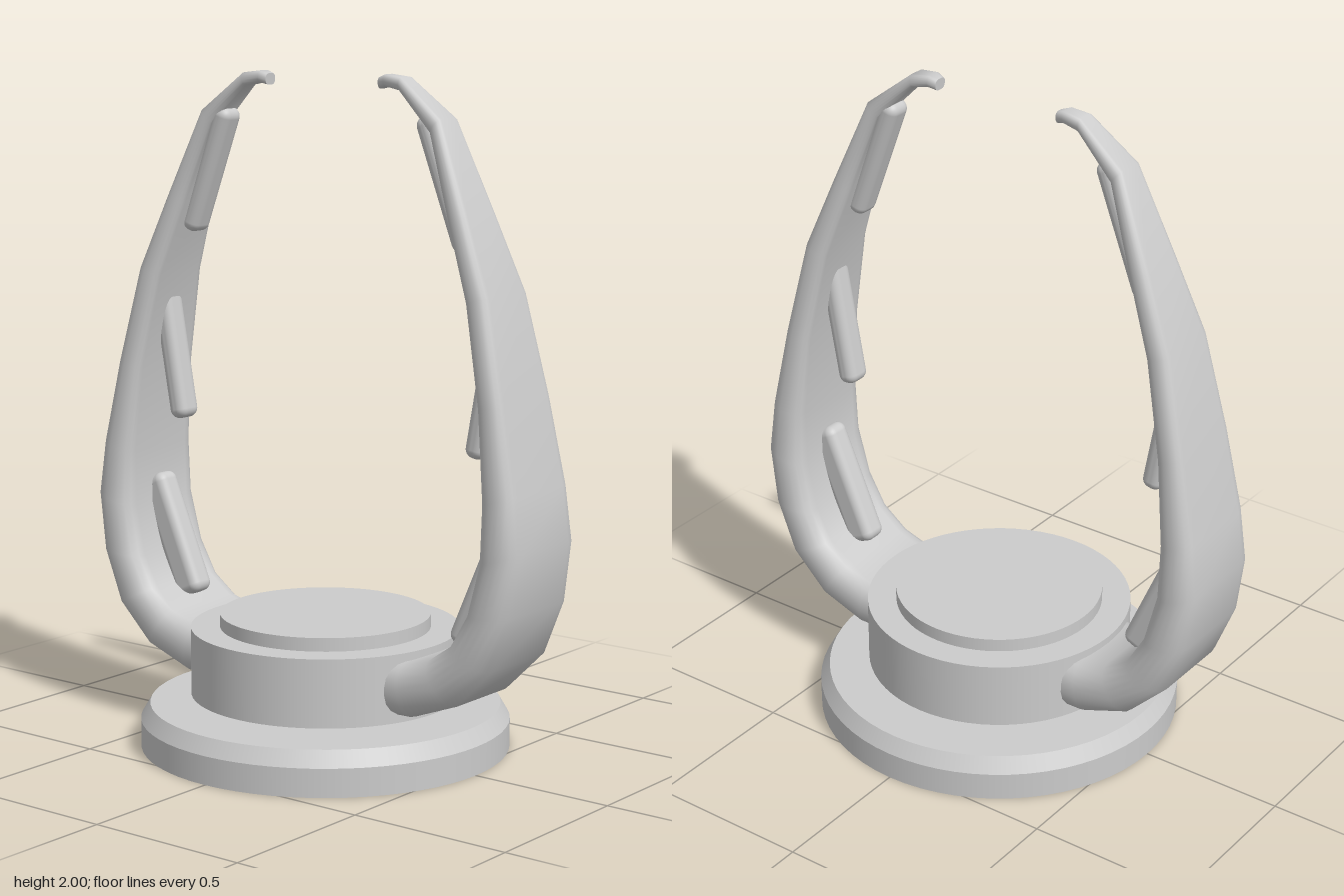
import * as THREE from 'three';
import { RoundedBoxGeometry } from 'three/addons/geometries/RoundedBoxGeometry.js';

const material = new THREE.MeshStandardMaterial({ color: 0xcccccc, side: THREE.DoubleSide });

function part(name, geometry, parent) {
  const mesh = new THREE.Mesh(geometry, material);
  mesh.name = name;
  parent.add(mesh);
  return mesh;
}

// Arm stations: outer x, outer y, inner x, inner y, half width in z
const stations = [
  [0.30, 0.175, 0.30, 0.335, 0.18],
  [0.42, 0.178, 0.39, 0.335, 0.183],
  [0.57, 0.235, 0.48, 0.36, 0.184],
  [0.69, 0.355, 0.56, 0.415, 0.183],
  [0.757, 0.52, 0.615, 0.51, 0.18],
  [0.783, 0.70, 0.652, 0.66, 0.172],
  [0.763, 0.86, 0.655, 0.83, 0.16],
  [0.71, 1.11, 0.63, 1.09, 0.14],
  [0.642, 1.40, 0.57, 1.38, 0.115],
  [0.55, 1.62, 0.49, 1.60, 0.088],
  [0.438, 1.88, 0.405, 1.84, 0.055],
  [0.29, 1.993, 0.285, 1.955, 0.036],
  [0.23, 2.0, 0.232, 1.965, 0.03],
  [0.205, 1.992, 0.207, 1.958, 0.022],
];

// Rounded rectangle loop: u along the thickness, z across the width
function ringPoints(halfT, halfW, steps = 5) {
  const r = Math.min(halfT * 0.84, halfW * 0.84);
  const points = [];
  for (let c = 0; c < 4; c++) {
    const su = c === 0 || c === 3 ? 1 : -1;
    const sz = c < 2 ? -1 : 1;
    for (let k = 0; k < steps; k++) {
      const a = (c + k / (steps - 1)) * Math.PI / 2;
      points.push([su * (halfT - r) + r * Math.cos(a), sz * (halfW - r) - r * Math.sin(a)]);
    }
  }
  return points;
}

function armGeometry() {
  const positions = [], index = [];
  let n = 0;
  for (const [ox, oy, ix, iy, w] of stations) {
    const dx = ox - ix, dy = oy - iy, t = Math.hypot(dx, dy);
    const ring = ringPoints(t / 2, w);
    n = ring.length;
    for (const [u, z] of ring) {
      positions.push((ox + ix) / 2 + u * dx / t, (oy + iy) / 2 + u * dy / t, z);
    }
  }
  for (let i = 0; i < stations.length - 1; i++) {
    for (let j = 0; j < n; j++) {
      const a = i * n + j, b = i * n + (j + 1) % n;
      index.push(a, b, b + n, a, b + n, a + n);
    }
  }
  // Cap at the tip, with its own vertices for a crisp edge
  const start = positions.length / 3, last = start - n;
  for (let j = 0; j < n; j++) {
    positions.push(...positions.slice((last + j) * 3, (last + j) * 3 + 3));
  }
  const [ox, oy, ix, iy] = stations[stations.length - 1];
  positions.push((ox + ix) / 2, (oy + iy) / 2, 0);
  for (let j = 0; j < n; j++) index.push(start + j, start + (j + 1) % n, start + n);

  const geometry = new THREE.BufferGeometry();
  geometry.setAttribute('position', new THREE.Float32BufferAttribute(positions, 3));
  geometry.setIndex(index);
  geometry.computeVertexNormals();
  return geometry;
}

// Grip pads: name, centre x, centre y, thickness, length, tilt
const pads = [
  ['upperPad', 0.437, 1.70, 0.06, 0.40, 0.365],
  ['middlePad', 0.59, 1.145, 0.065, 0.435, -0.18],
  ['lowerPad', 0.592, 0.56, 0.10, 0.39, -0.41],
];

function buildArm(name) {
  const arm = new THREE.Group();
  arm.name = name;
  part('claw', armGeometry(), arm);
  for (const [padName, x, y, thick, length, tilt] of pads) {
    const pad = part(padName, new RoundedBoxGeometry(thick, length, 0.085, 4, 0.028), arm);
    pad.position.set(x, y, 0);
    pad.rotation.z = tilt;
  }
  return arm;
}

function disc(name, radius, y0, y1, parent) {
  part(name, new THREE.CylinderGeometry(radius, radius, y1 - y0, 64), parent).position.y = (y0 + y1) / 2;
}

export function createModel() {
  const model = new THREE.Group();
  model.name = 'clawStand';

  // Base plate with a bevelled rim
  const base = new THREE.Group();
  base.name = 'base';
  model.add(base);
  disc('basePlate', 0.553, 0, 0.085, base);
  part('baseBevel', new THREE.CylinderGeometry(0.525, 0.553, 0.047, 64), base).position.y = 0.1085;

  // Hub that carries the arms
  disc('neck', 0.313, 0.12, 0.17, model);
  disc('hub', 0.402, 0.157, 0.36, model);
  disc('topDisc', 0.315, 0.35, 0.40, model);

  // Two opposed arms
  const left = buildArm('leftArm');
  const right = buildArm('rightArm');
  right.rotation.y = Math.PI;
  model.add(left, right);
  return model;
}
